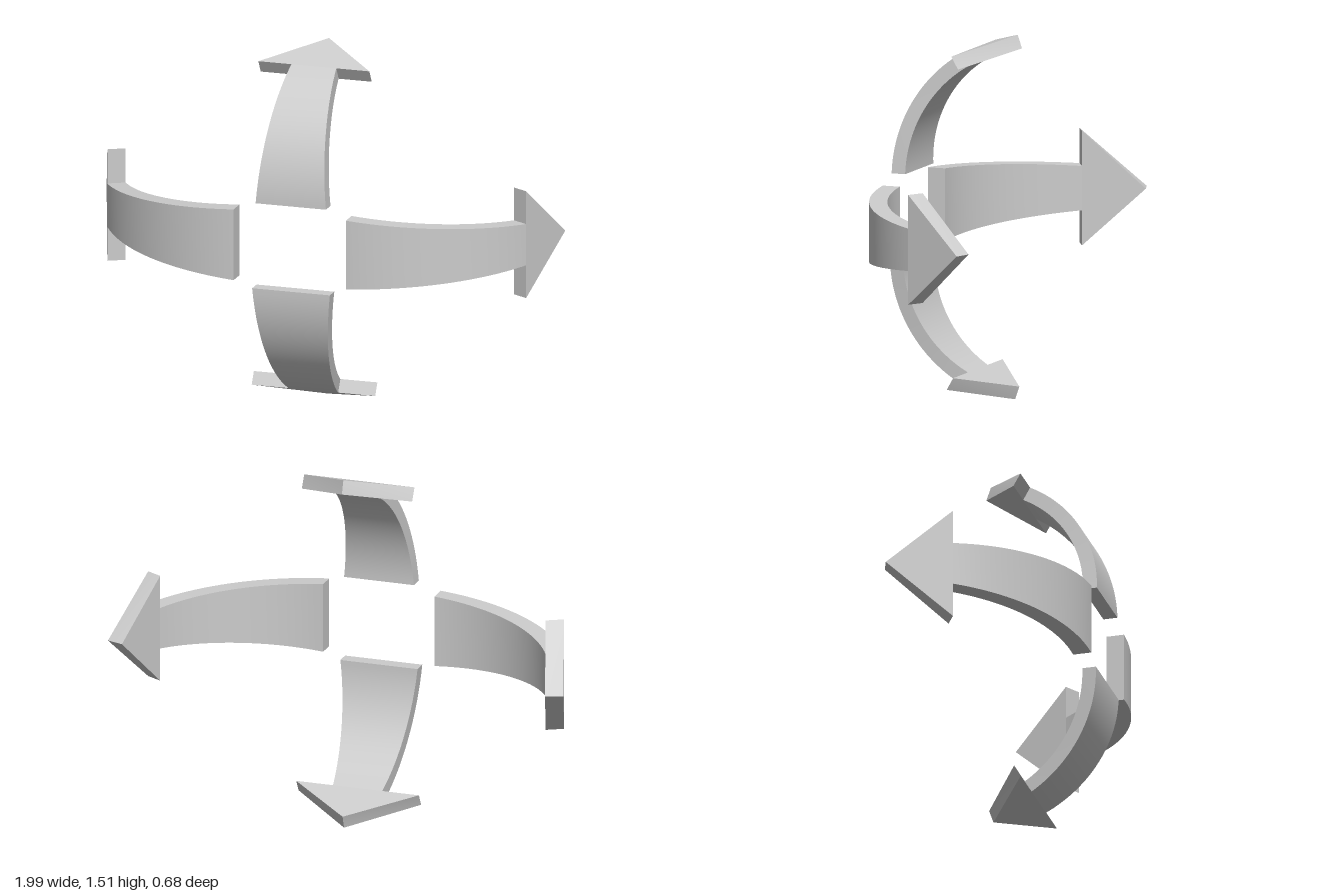
import * as THREE from 'three';
import { toCreasedNormals } from 'three/addons/utils/BufferGeometryUtils.js';

const SWEEP = THREE.MathUtils.degToRad(60.5);     // arc swept by each band
const HEAD_TILT = THREE.MathUtils.degToRad(71);   // direction of the flat head
const STEPS = 28;

// Closed solid through a list of four-cornered cross-sections
function loft(sections) {
  const pos = [];
  const tri = (a, b, c) => {
    const area = b.clone().sub(a).cross(c.clone().sub(a)).length();
    if (area > 1e-8) for (const p of [a, b, c]) pos.push(p.x, p.y, p.z);
  };
  const quad = (a, b, c, d) => { tri(a, b, c); tri(a, c, d); };
  for (let i = 0; i + 1 < sections.length; i++) {
    for (let j = 0; j < 4; j++) {
      const k = (j + 1) % 4;
      quad(sections[i][j], sections[i][k], sections[i + 1][k], sections[i + 1][j]);
    }
  }
  quad(...sections[0].slice().reverse());
  quad(...sections[sections.length - 1]);
  const g = new THREE.BufferGeometry();
  g.setAttribute('position', new THREE.Float32BufferAttribute(pos, 3));
  return toCreasedNormals(g, 0.5);
}

// Cross-section from an outer and an inner (x, z) point and a half width in y
function section(outer, inner, half) {
  return [[outer, half], [outer, -half], [inner, -half], [inner, half]]
    .map(([p, y]) => new THREE.Vector3(p.x, y, p.y));
}

// Arrow running out along +x from its start and bending back towards -z
function arrow(a, material) {
  const zc = a.front - a.radius;
  const at = (r, t) => new THREE.Vector2(r * Math.sin(t), zc + r * Math.cos(t));
  const rIn = a.radius - a.thick;

  // Tapering curved band
  const rings = [];
  for (let i = 0; i <= STEPS; i++) {
    const f = i / STEPS, t = f * SWEEP;
    rings.push(section(at(a.radius, t), at(rIn, t), THREE.MathUtils.lerp(a.startHalf, a.endHalf, f)));
  }
  const band = new THREE.Mesh(loft(rings), material);
  band.name = 'curvedBand';

  // Flat triangular head, mitred to the band and cut square at its tip
  const outer = at(a.radius, SWEEP), inner = at(rIn, SWEEP);
  const dir = new THREE.Vector2(Math.cos(HEAD_TILT), -Math.sin(HEAD_TILT));
  const normal = new THREE.Vector2(Math.sin(HEAD_TILT), Math.cos(HEAD_TILT));
  const tipOuter = outer.clone().addScaledVector(dir, a.headLength);
  const tipInner = tipOuter.clone().addScaledVector(normal, -a.thick * 0.98);
  const head = new THREE.Mesh(
    loft([section(outer, inner, a.headHalf), section(tipOuter, tipInner, 0)]), material);
  head.name = 'arrowHead';

  const group = new THREE.Group();
  group.name = a.name;
  group.add(band, head);
  group.position.set(a.start[0], a.start[1], 0);
  group.rotation.z = a.turn * Math.PI / 2;
  return group;
}

export function createModel() {
  const material = new THREE.MeshStandardMaterial({ color: 0xcccccc });
  const model = new THREE.Group();
  model.name = 'fourWayArrows';
  const arrows = [
    { name: 'leftArrow', turn: 0, start: [0.255, 0.747], front: 0.335, radius: 0.75, thick: 0.075,
      startHalf: 0.147, endHalf: 0.088, headHalf: 0.228, headLength: 0.265 },
    { name: 'upArrow', turn: 1, start: [0.016, 0.932], front: 0.332, radius: 0.593, thick: 0.06,
      startHalf: 0.152, endHalf: 0.097, headHalf: 0.24, headLength: 0.207 },
    { name: 'rightArrow', turn: 2, start: [-0.23, 0.747], front: 0.335, radius: 0.778, thick: 0.077,
      startHalf: 0.151, endHalf: 0.092, headHalf: 0.238, headLength: 0.276 },
    { name: 'downArrow', turn: 3, start: [0.017, 0.568], front: 0.332, radius: 0.575, thick: 0.058,
      startHalf: 0.168, endHalf: 0.107, headHalf: 0.267, headLength: 0.205 },
  ];
  for (const a of arrows) model.add(arrow(a, material));
  return model;
}
